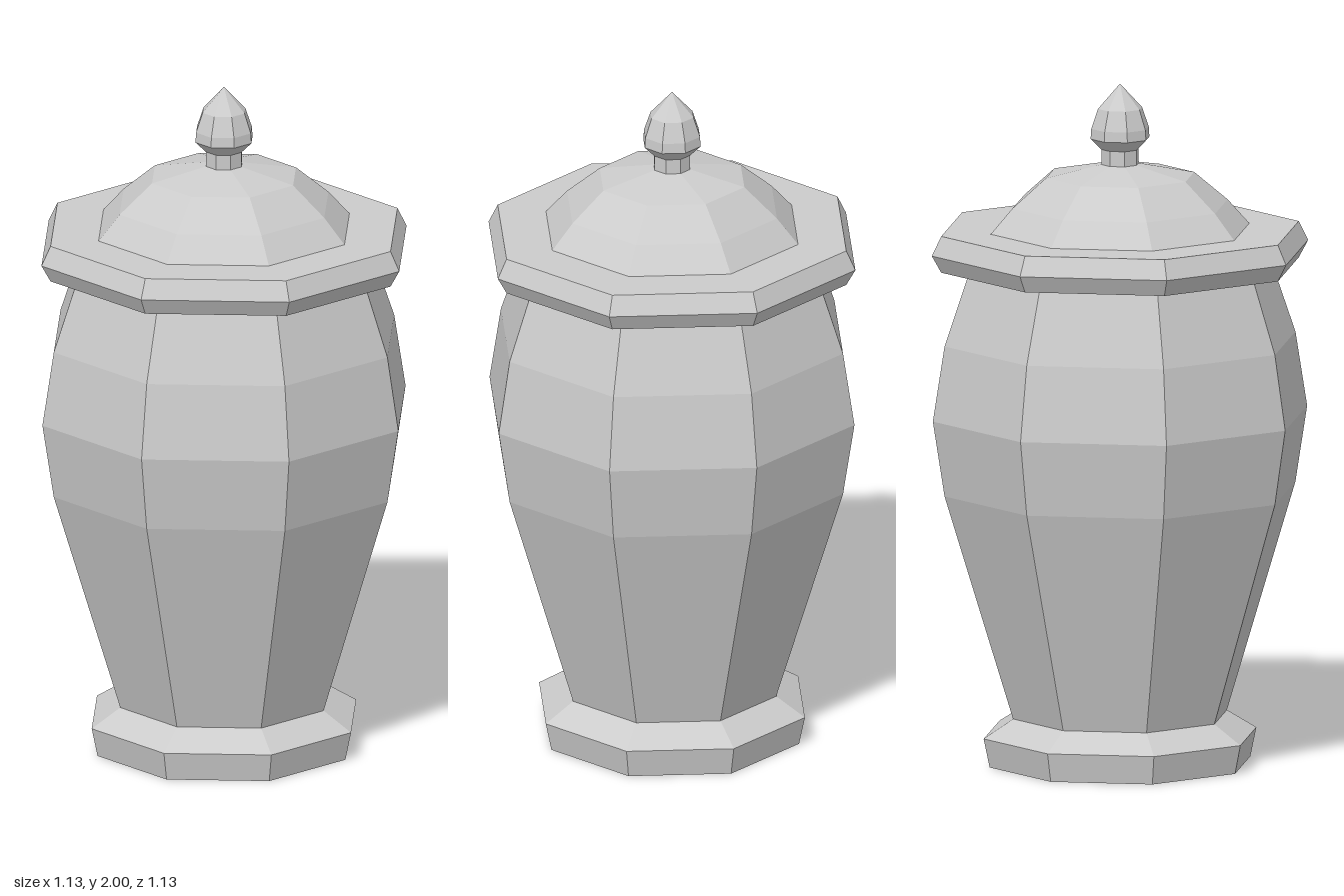
import * as THREE from 'three';

const SIDES = 8;

export function createModel() {
  const urn = new THREE.Group();
  urn.name = 'liddedUrn';
  const material = new THREE.MeshStandardMaterial({ color: 0xcccccc, flatShading: true });

  // Turns a [radius, height] profile, listed bottom to top, into an eight-sided part
  const addTurned = (name, profile) => {
    const points = profile.map(([r, y]) => new THREE.Vector2(r, y));
    const mesh = new THREE.Mesh(new THREE.LatheGeometry(points, SIDES), material);
    mesh.name = name;
    urn.add(mesh);
  };

  // Foot with a bevelled top
  addTurned('foot', [[0, 0], [0.39, 0], [0.408, 0.085], [0.32, 0.14], [0, 0.14]]);

  // Tapered body with a rounded shoulder
  addTurned('body', [[0.32, 0.14], [0.525, 0.805], [0.56, 1.027], [0.525, 1.247], [0.45, 1.465]]);

  // Overhanging lid rim, bevelled above and below
  addTurned('lidRim', [[0, 1.465], [0.535, 1.465], [0.563, 1.515], [0.535, 1.572], [0.387, 1.572]]);

  // Domed lid
  addTurned('lidDome', [[0.387, 1.572], [0.322, 1.645], [0.222, 1.73], [0, 1.775]]);

  // Short neck and pointed knob
  addTurned('knobNeck', [[0.056, 1.755], [0.056, 1.808]]);
  addTurned('knob', [[0.056, 1.808], [0.088, 1.84], [0.086, 1.87], [0.066, 1.928], [0, 2]]);

  return urn;
}
